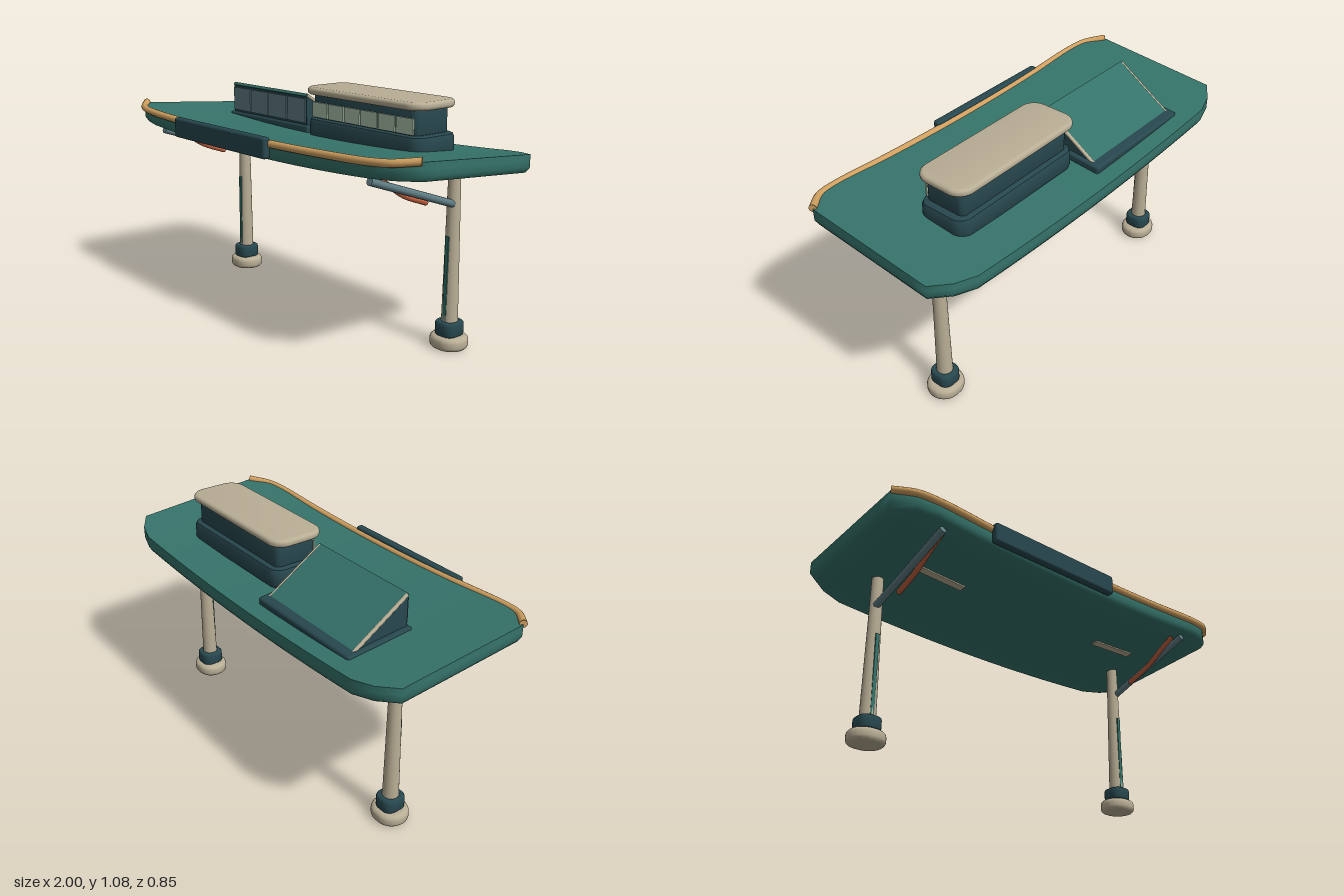
import * as THREE from 'three';
import { toCreasedNormals } from 'three/addons/utils/BufferGeometryUtils.js';
import { RoundedBoxGeometry } from 'three/addons/geometries/RoundedBoxGeometry.js';

const mat = (name, color) => Object.assign(new THREE.MeshStandardMaterial({ color }), { name });
const M = {
  green: mat('canopy green', 0x35736a),
  dark: mat('dark teal', 0x27474e),
  beige: mat('warm beige', 0xb9ae95),
  tan: mat('tan rail', 0xd0a060),
  orange: mat('burnt orange', 0xc0603f),
  steel: mat('blue grey', 0x5f7d84),
  pale: mat('pale glass', 0xa9c2aa),
};

// Height of the canopy's top: tilted up to the front, ends bowed up
const deckY = (x, z) => 0.9 + 0.083 * z - 0.045 * (1 - x * x);
const TILT = -0.083;

function add(parent, name, geometry, material, x = 0, y = 0, z = 0) {
  const mesh = new THREE.Mesh(geometry, material);
  mesh.name = name;
  mesh.position.set(x, y, z);
  parent.add(mesh);
  return mesh;
}

// Rounded-rectangle slab standing on y = 0, with bevelled rims
function slab(w, h, d, r, bevel, segments = 3) {
  const a = w / 2 - bevel, b = d / 2 - bevel, q = Math.max(r - bevel, 0.004);
  const s = new THREE.Shape();
  s.absarc(a - q, b - q, q, 0, Math.PI / 2);
  s.absarc(-a + q, b - q, q, Math.PI / 2, Math.PI);
  s.absarc(-a + q, -b + q, q, Math.PI, Math.PI * 1.5);
  s.absarc(a - q, -b + q, q, Math.PI * 1.5, Math.PI * 2);
  const g = new THREE.ExtrudeGeometry(s, {
    depth: h - 2 * bevel, bevelEnabled: true, bevelSize: bevel, bevelThickness: bevel,
    bevelSegments: segments, curveSegments: 8,
  });
  g.translate(0, 0, bevel).rotateX(-Math.PI / 2);
  return toCreasedNormals(g, 0.6);
}

function tube(points, radius, segments) {
  const curve = new THREE.CatmullRomCurve3(points.map(p => new THREE.Vector3(...p)), false, 'centripetal');
  return new THREE.TubeGeometry(curve, segments, radius, 12);
}

// Straight round bar with closed ends
function bar(parent, name, a, b, radius, material) {
  const p = new THREE.Vector3(...a), q = new THREE.Vector3(...b);
  const dir = q.clone().sub(p);
  const mesh = add(parent, name, new THREE.CylinderGeometry(radius, radius, dir.length(), 14), material);
  mesh.position.copy(p).add(q).multiplyScalar(0.5);
  mesh.quaternion.setFromUnitVectors(new THREE.Vector3(0, 1, 0), dir.normalize());
}

// Canopy: a box bent to the plan outline and the bowed surface
function canopyGeometry() {
  const g = new THREE.BoxGeometry(2, 1, 1, 20, 3, 8);
  const p = g.attributes.position;
  const lerp = (x, v) => x <= 0.8 ? v[0] : x <= 0.9
    ? v[0] + (v[1] - v[0]) * (x - 0.8) * 10 : v[1] + (v[2] - v[1]) * (x - 0.9) * 10;
  const drops = [0.077, 0.056, 0.028, 0];
  for (let i = 0; i < p.count; i++) {
    const row = Math.round((p.getY(i) + 0.5) * 3), ax = Math.abs(p.getX(i));
    const inset = row === 0 ? 0.012 : 0;
    const x = Math.sign(p.getX(i)) * (lerp(ax, [0, 0, -0.01]) + ax) * (1 - inset);
    const front = lerp(ax, [0.38, 0.36, 0.295]) - inset;
    const back = lerp(ax, [-0.43, -0.4, -0.34]) + inset;
    const z = back + (front - back) * (p.getZ(i) + 0.5);
    p.setXYZ(i, x, deckY(x, z) - drops[row], z);
  }
  return toCreasedNormals(g, 1.2);
}

function buildCabin() {
  const g = new THREE.Group();
  g.name = 'cabin';
  add(g, 'cabinBase', slab(0.73, 0.1, 0.257, 0.06, 0.022, 2), M.dark, 0.325, 0.836, -0.117);
  add(g, 'cabinBody', slab(0.665, 0.13, 0.208, 0.03, 0.006), M.dark, 0.322, 0.918, -0.114);
  add(g, 'cabinRoof', slab(0.748, 0.036, 0.268, 0.075, 0.016), M.beige, 0.318, 1.042, -0.115);
  for (let i = 0; i < 6; i++) {
    add(g, 'cabinWindow', new THREE.BoxGeometry(0.1, 0.07, 0.008), M.pale, 0.05 + i * 0.109, 0.974, -0.007);
  }
  return g;
}

function buildSkylight() {
  const g = new THREE.Group();
  g.name = 'skylight';
  const base = add(g, 'skylightBase', new RoundedBoxGeometry(0.63, 0.06, 0.335, 2, 0.012), M.dark, -0.375, 0.842, -0.187);
  base.rotation.x = TILT;
  // Wedge with an upright front and a roof falling to the back
  const side = new THREE.Shape([[-0.32, 0.84], [-0.035, 0.84], [-0.035, 1.02]].map(p => new THREE.Vector2(...p)));
  const wedge = new THREE.ExtrudeGeometry(side, { depth: 0.585, bevelEnabled: false });
  wedge.rotateY(-Math.PI / 2);
  add(g, 'skylightBody', wedge, M.dark, -0.082);
  const roof = add(g, 'skylightRoof', new THREE.BoxGeometry(0.585, 0.014, 0.335), M.green, -0.375, 0.939, -0.175);
  roof.rotation.x = -Math.atan2(0.18, 0.285);
  for (const x of [-0.664, -0.086]) {
    bar(g, 'skylightTrim', [x, 0.855, -0.31], [x, 1.027, -0.038], 0.008, M.beige);
  }
  for (let i = 0; i < 4; i++) {
    add(g, 'skylightWindow', new THREE.BoxGeometry(0.139, 0.115, 0.008), M.steel, -0.594 + i * 0.146, 0.952, -0.033);
  }
  return g;
}

// One leg with its foot and braces; s = 1 is the model's left
function buildLeg(s) {
  const g = new THREE.Group();
  g.name = s > 0 ? 'leftLeg' : 'rightLeg';
  const x = s * 0.75, z = -0.153;
  add(g, 'foot', slab(0.17, 0.06, 0.154, 0.075, 0.02), M.beige, x, 0, z);
  add(g, 'collar', slab(0.108, 0.066, 0.114, 0.04, 0.012), M.dark, x, 0.057, z);
  add(g, 'post', new THREE.CylinderGeometry(0.0265, 0.037, 0.71, 20), M.beige, x, 0.455, z);
  add(g, 'postStrip', new THREE.BoxGeometry(0.018, 0.39, 0.012), M.green, x, 0.312, -0.123);
  bar(g, 'brace', [s * 0.752, 0.815, 0.34], [s * 0.758, 0.645, -0.15], 0.0165, M.steel);
  // Curved strut, closed at its lower end
  add(g, 'curvedStrut', tube([[s * 0.73, 0.825, 0.3], [s * 0.73, 0.78, 0.22], [s * 0.73, 0.72, 0.125],
    [s * 0.73, 0.672, 0]], 0.0125, 20), M.orange);
  add(g, 'strutEnd', new THREE.SphereGeometry(0.0125, 12, 8), M.orange, s * 0.73, 0.672, 0);
  // Flush lamp strip on the underside
  const lamp = add(g, 'underLamp', new THREE.BoxGeometry(0.26, 0.009, 0.036), M.beige, s * 0.55, deckY(0.55, 0.042) - 0.079, 0.042);
  lamp.rotation.set(TILT, 0, s * 0.05);
  return g;
}

export function createModel() {
  const model = new THREE.Group();
  model.name = 'shelter';
  add(model, 'canopy', canopyGeometry(), M.green);

  // Front rail follows the bowed front edge
  const half = [[0.2, 0.884, 0.381], [0.5, 0.892, 0.381], [0.8, 0.906, 0.381], [0.9, 0.914, 0.362], [0.988, 0.926, 0.297]];
  const path = [...half.map(([x, y, z]) => [-x, y, z]).reverse(), ...half];
  add(model, 'frontRail', tube(path, 0.017, 80), M.tan);
  for (const s of [-1, 1]) {
    const cap = add(model, 'railCap', new THREE.CircleGeometry(0.017, 12), M.tan, s * 0.988, 0.926, 0.297);
    cap.rotation.y = s * 2.2;
    cap.material.side = THREE.DoubleSide;
  }
  add(model, 'frontPanel', new RoundedBoxGeometry(0.71, 0.095, 0.038, 3, 0.012), M.dark, -0.175, 0.866, 0.4);

  model.add(buildCabin(), buildSkylight(), buildLeg(1), buildLeg(-1));
  return model;
}
